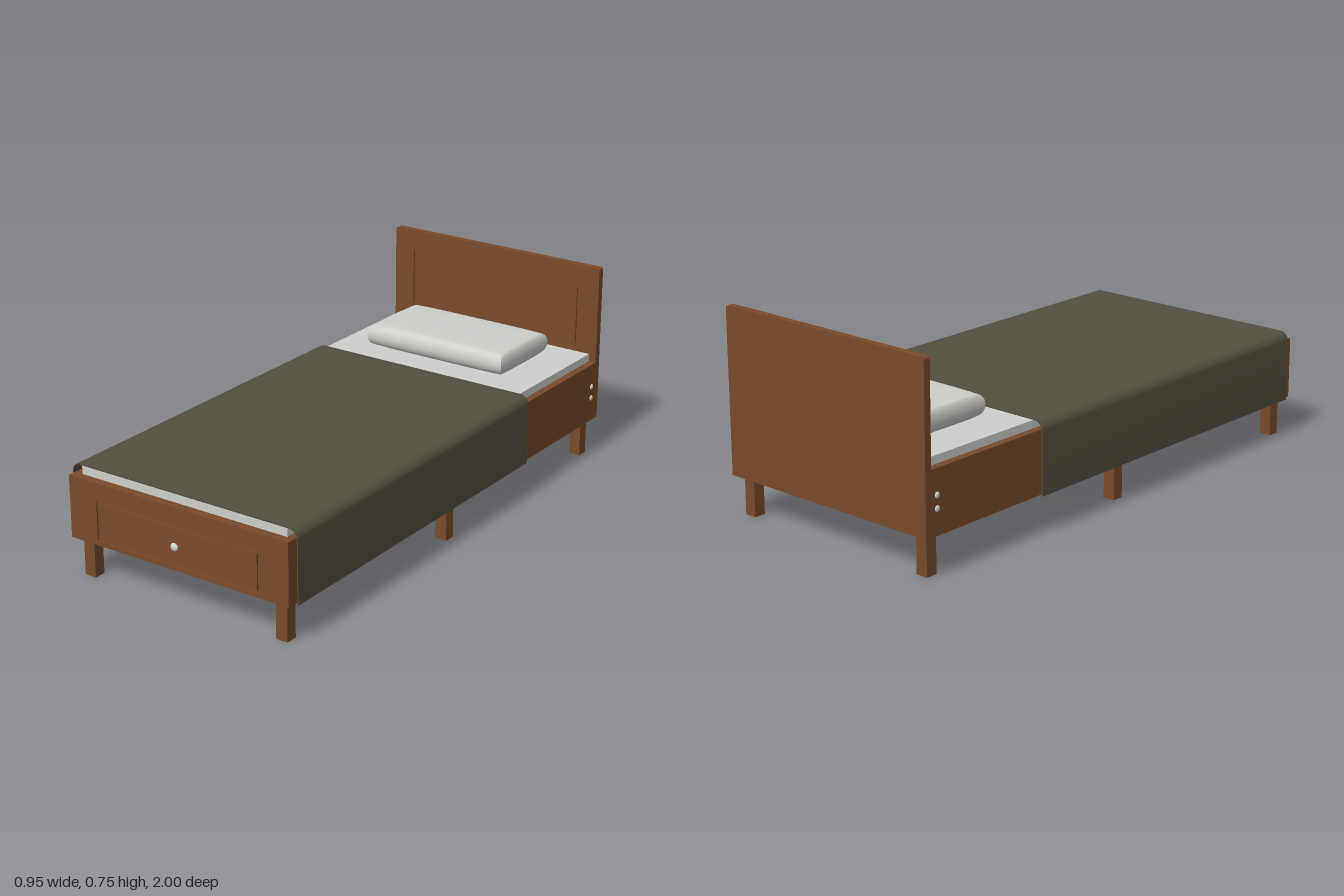
import * as THREE from 'three';
import { toCreasedNormals } from 'three/addons/utils/BufferGeometryUtils.js';

const mat = (name, color) => {
  const m = new THREE.MeshStandardMaterial({ color });
  m.name = name;
  return m;
};

// Rectangle outline; r rounds the two top corners
function rect(Type, x0, x1, y0, y1, r = 0) {
  const s = new Type();
  s.moveTo(x0, y0);
  s.lineTo(x1, y0);
  s.lineTo(x1, y1 - r);
  if (r) s.absarc(x1 - r, y1 - r, r, 0, Math.PI / 2);
  s.lineTo(x0 + r, y1);
  if (r) s.absarc(x0 + r, y1 - r, r, Math.PI / 2, Math.PI);
  s.closePath();
  return s;
}

const extrude = (shape, z0, z1) => new THREE.ExtrudeGeometry(shape,
  { depth: z1 - z0, bevelEnabled: false, curveSegments: 6 }).translate(0, 0, z0);

export function createModel() {
  const bed = new THREE.Group();
  bed.name = 'bed';
  const wood = mat('wood', 0x784a2b);
  const linen = mat('linen', 0xcdd0cb);
  const wool = mat('blanket', 0x534f3f);
  const metal = mat('metal', 0xd2d6d4);

  const add = (name, geo, material) => {
    const m = new THREE.Mesh(geo, material);
    m.name = name;
    bed.add(m);
    return m;
  };
  const box = (name, x0, x1, y0, y1, z0, z1, material = wood) =>
    add(name, new THREE.BoxGeometry(x1 - x0, y1 - y0, z1 - z0)
      .translate((x0 + x1) / 2, (y0 + y1) / 2, (z0 + z1) / 2), material);

  // Board whose front carries a thin rectangular groove
  function groovedBoard(name, top, z0, z1, r, w, p0, p1) {
    const groove = 0.008, deep = z1 - 0.006;
    add(name + 'Back', extrude(rect(THREE.Shape, -0.46, 0.46, 0.145, top, r), z0, deep), wood);
    const face = rect(THREE.Shape, -0.46, 0.46, 0.145, top, r);
    face.holes.push(rect(THREE.Path, -w, w, p0, p1));
    add(name + 'Face', extrude(face, deep, z1), wood);
    box(name + 'Panel', -w + groove, w - groove, p0 + groove, p1 - groove, deep, z1);
  }
  groovedBoard('headboard', 0.75, -1, -0.973, 0.01, 0.375, 0.415, 0.667);
  groovedBoard('footboard', 0.375, 0.952, 0.984, 0, 0.342, 0.162, 0.31);

  // Side rails, bolts and legs
  for (const s of [-1, 1]) {
    const side = s > 0 ? 'left' : 'right';
    const [a, b] = s > 0 ? [0.432, 0.46] : [-0.46, -0.432];
    box(side + 'Rail', a, b, 0.145, 0.375, -0.973, 0.952);
    for (const y of [0.238, 0.284]) {
      const bolt = new THREE.SphereGeometry(0.011, 14, 10).scale(0.55, 1, 1);
      add(side + 'Bolt', bolt.translate(s * 0.46, y, -0.948), metal);
    }
    for (const z of [-0.948, -0.004, 0.933]) {
      box(side + 'Leg', s * 0.409 - 0.023, s * 0.409 + 0.023, 0, 0.15, z - 0.022, z + 0.022);
    }
  }

  // Bed base with ventilation slots, laid flat under the mattress
  const base = rect(THREE.Shape, -0.432, 0.432, -0.95, 0.973);
  for (const z of [-0.55, -0.135, 0.28, 0.695]) {
    base.holes.push(rect(THREE.Path, -0.35, 0.35, -z - 0.085, -z + 0.085));
  }
  add('bedBase', extrude(base, 0, 0.02).rotateX(-Math.PI / 2).translate(0, 0.335, 0), wood);

  // Drawer under the foot half
  box('drawerBottom', -0.43, 0.43, 0.15, 0.165, 0, 0.952);
  box('drawerBack', -0.43, 0.43, 0.15, 0.33, -0.012, 0.008);
  const knob = [[0, 0], [0.006, 0], [0.006, 0.004], [0.014, 0.006], [0.015, 0.01], [0.01, 0.015], [0, 0.016]]
    .map(([x, y]) => new THREE.Vector2(x, y));
  add('drawerKnob', new THREE.LatheGeometry(knob, 20).rotateX(Math.PI / 2)
    .translate(0, 0.236, 0.984), metal);

  // Mattress
  box('mattress', -0.431, 0.431, 0.355, 0.404, -0.972, 0.948, linen);

  // Blanket: thin arch draped over both sides
  const cover = rect(THREE.Shape, -0.473, 0.473, 0.143, 0.409, 0.035);
  const inner = rect(THREE.Shape, -0.469, 0.469, 0.143, 0.405, 0.031).getPoints(6);
  const outer = cover.getPoints(6);
  // drop the closing bottom edge and join the outer and inner arches
  const arch = pts => pts.slice(1).filter((p, i, all) => i === 0 || p.distanceTo(all[i - 1]) > 1e-6);
  const section = new THREE.Shape([...arch(outer), ...arch(inner).reverse()]);
  add('blanket', toCreasedNormals(extrude(section, -0.455, 0.95), 0.6), wool);

  // Pillow: box with bulging sides and a softly crowned top
  const pillow = new THREE.BoxGeometry(2, 2, 2, 32, 10, 24);
  const p = pillow.attributes.position;
  for (let i = 0; i < p.count; i++) {
    const x = p.getX(i), y = p.getY(i), z = p.getZ(i);
    const v = Math.sin(y * Math.PI / 2);
    const inset = 1 - Math.sqrt(Math.max(0, 1 - 0.96 * v * v));
    const crown = 1 - 0.07 * Math.pow(Math.abs(x), 5) - 0.07 * Math.pow(Math.abs(z), 5);
    p.setXYZ(i, x * (0.3 - 0.018 * inset), 0.044 * v * crown, z * (0.168 - 0.03 * inset));
  }
  add('pillow', toCreasedNormals(pillow, 0.7).translate(0, 0.453, -0.712), linen);

  return bed;
}
